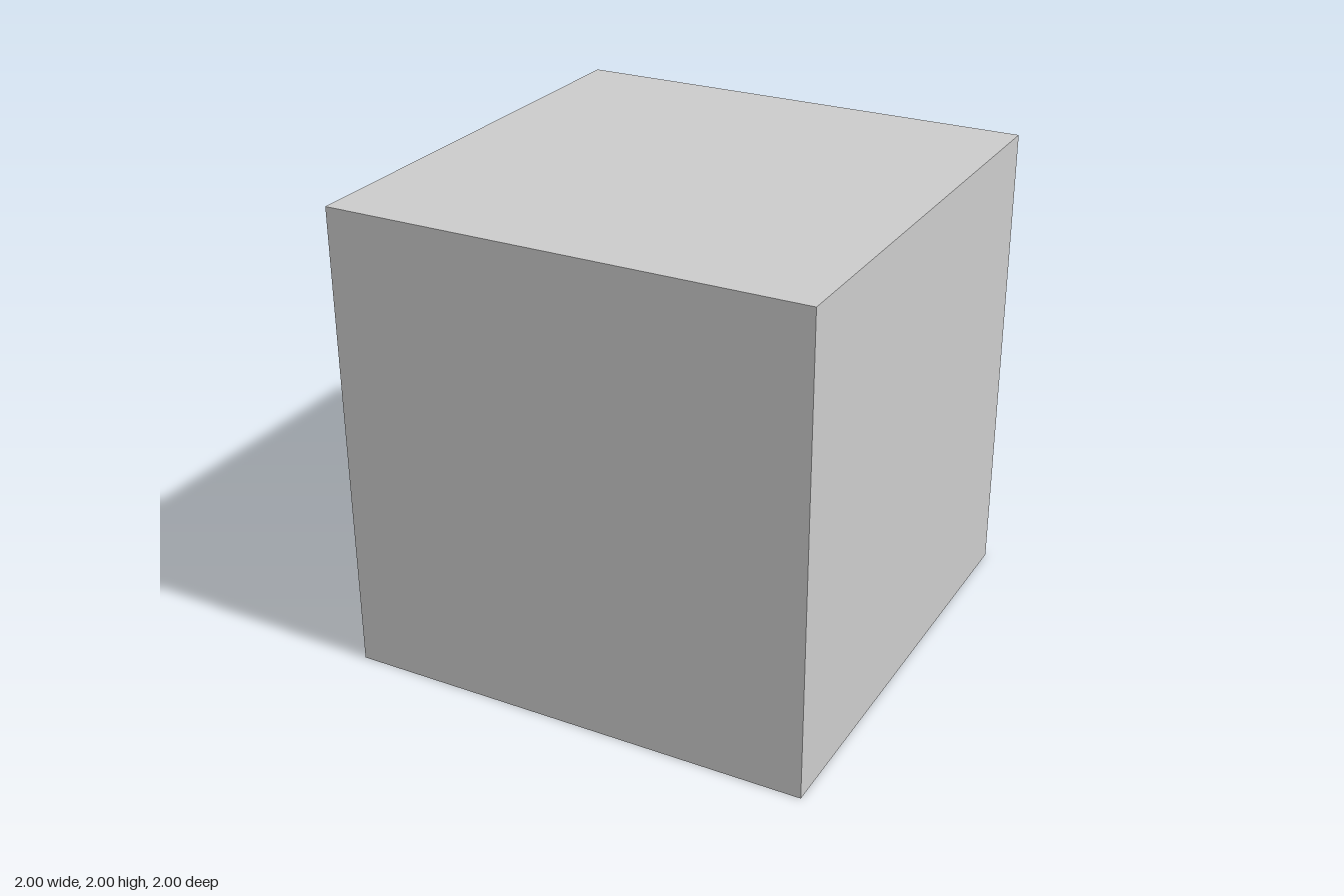
import * as THREE from 'three';

const material = new THREE.MeshStandardMaterial({ color: 0xcccccc });

// Rectangles are [x0, x1, y0, y1]
const OUTER = [-1, 1, 0, 2];
const DOORWAY = [-0.5, 0.5, 0.09, 1.5];
const WINDOW = [-0.265, 0.322, 0.85, 1.308];
const ROOM = [-0.8, 0.8, 0.1, 1.72];

// Depths, from the back face inwards
const Z_BACK = -1, Z_DOOR = -0.955, Z_ROOM = -0.58, Z_ROOM_END = 0.8;

function add(group, name, geometry) {
  const mesh = new THREE.Mesh(geometry, material);
  mesh.name = name;
  group.add(mesh);
}

// Box faces between two depths: the first `sides` of +x, -x, +y, -y, +z, -z
function sleeve([x0, x1, y0, y1], z0, z1, sides, inward) {
  const box = new THREE.BoxGeometry(x1 - x0, y1 - y0, z1 - z0);
  const index = Array.from(box.index.array).slice(0, sides * 6);
  if (inward) {
    index.reverse();
    const n = box.attributes.normal;
    for (let i = 0; i < n.count; i++) n.setXYZ(i, -n.getX(i), -n.getY(i), -n.getZ(i));
  }
  box.setIndex(index);
  box.clearGroups();
  return box.translate((x0 + x1) / 2, (y0 + y1) / 2, (z0 + z1) / 2);
}

// Flat wall with a rectangular opening, facing -z or +z
function plate(rect, hole, z, facesBack) {
  const s = facesBack ? -1 : 1;
  const corners = ([x0, x1, y0, y1]) =>
    [[x0, y0], [x1, y0], [x1, y1], [x0, y1]].map(([x, y]) => new THREE.Vector2(s * x, y));
  const shape = new THREE.Shape(corners(rect));
  shape.holes.push(new THREE.Path(corners(hole)));
  const geometry = new THREE.ShapeGeometry(shape);
  if (facesBack) geometry.rotateY(Math.PI);
  return geometry.translate(0, 0, z);
}

export function createModel() {
  const model = new THREE.Group();
  model.name = 'blockHouse';

  // Outside of the block
  add(model, 'outerWalls', sleeve(OUTER, Z_BACK, 1, 5, false));
  add(model, 'backWall', plate(OUTER, DOORWAY, Z_BACK, true));

  // Shallow doorway recess with its door panel
  add(model, 'doorFrame', sleeve(DOORWAY, Z_BACK, Z_DOOR, 4, true));
  add(model, 'doorPanel', plate(DOORWAY, WINDOW, Z_DOOR, true));

  // Deep window opening through the wall
  add(model, 'windowReveal', sleeve(WINDOW, Z_DOOR, Z_ROOM, 4, true));

  // Hollow inside
  add(model, 'roomWalls', sleeve(ROOM, Z_ROOM, Z_ROOM_END, 5, true));
  add(model, 'roomBackWall', plate(ROOM, WINDOW, Z_ROOM, false));

  return model;
}
